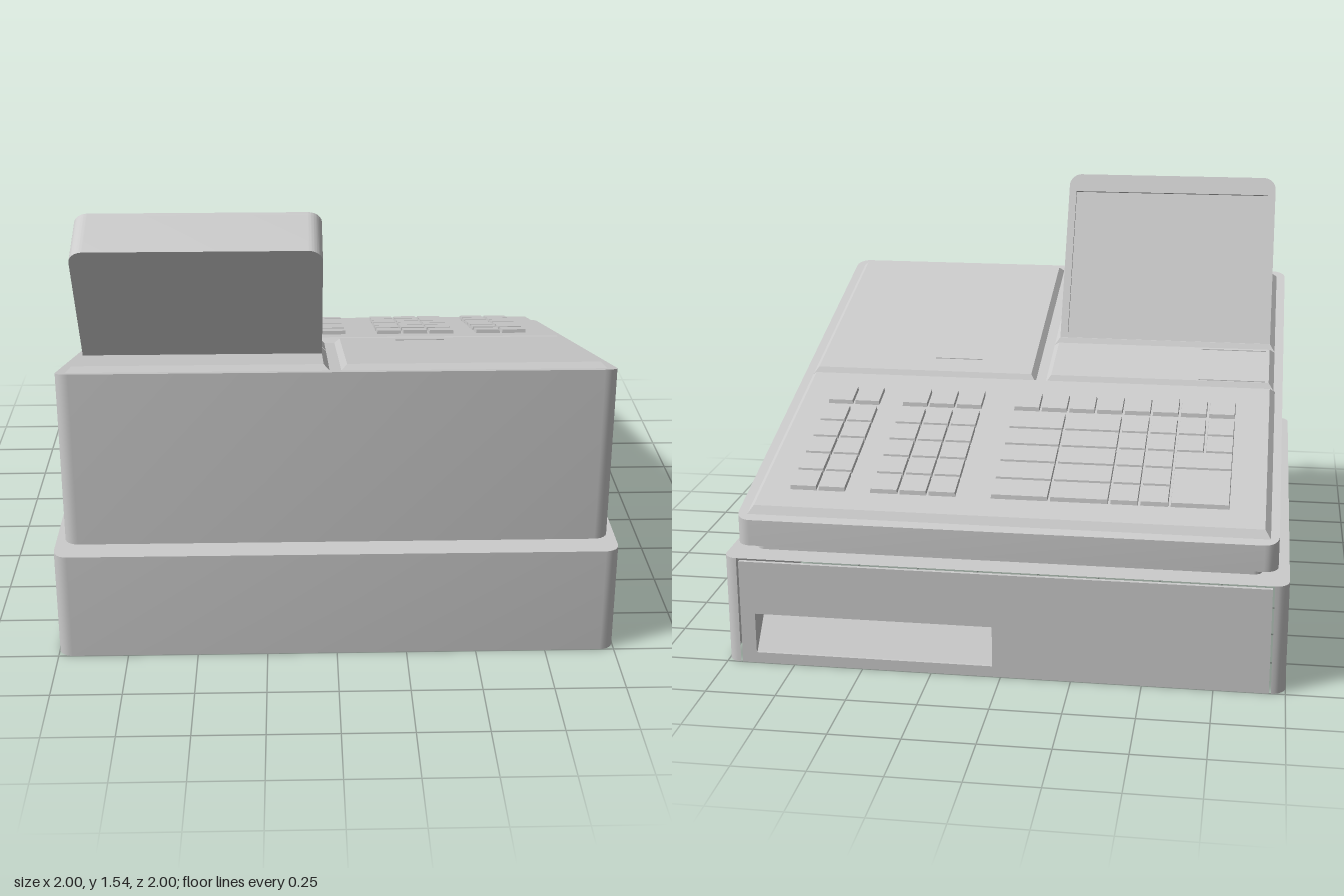
import * as THREE from 'three';
import { toCreasedNormals } from 'three/addons/utils/BufferGeometryUtils.js';

const MAT = new THREE.MeshStandardMaterial({ color: 0xcccccc, side: THREE.DoubleSide });
const topY = (z) => 0.805 + 0.285 * z; // sloping top plane

function add(parent, name, geometry) {
  const mesh = new THREE.Mesh(geometry, MAT);
  mesh.name = name;
  parent.add(mesh);
  return mesh;
}

function moveVertices(geo, rule) {
  const p = geo.attributes.position;
  const v = new THREE.Vector3();
  for (let i = 0; i < p.count; i++) {
    rule(v.fromBufferAttribute(p, i));
    p.setXYZ(i, v.x, v.y, v.z);
  }
  return toCreasedNormals(geo, 0.5);
}

// Rounded rectangle in plan; its closing segment is the back edge.
function outline(w, z0, z1, r, y) {
  const pts = [];
  const centres = [[w - r, z0 + r], [w - r, z1 - r], [r - w, z1 - r], [r - w, z0 + r]];
  centres.forEach(([cx, cz], k) => {
    for (let i = 0; i <= 6; i++) {
      const a = (k - 1 + i / 6) * Math.PI / 2;
      const z = cz + r * Math.sin(a);
      pts.push(new THREE.Vector3(cx + r * Math.cos(a), typeof y === 'function' ? y(z) : y, z));
    }
  });
  return pts;
}

// Strip of faces between two cross-sections.
function loft(a, b, closed = true) {
  const pos = [];
  const n = a.length;
  for (let i = 0; i < (closed ? n : n - 1); i++) {
    const j = (i + 1) % n;
    for (const p of [a[i], b[i], a[j], a[j], b[i], b[j]]) pos.push(p.x, p.y, p.z);
  }
  const geo = new THREE.BufferGeometry();
  geo.setAttribute('position', new THREE.Float32BufferAttribute(pos, 3));
  return toCreasedNormals(geo, 0.5);
}

// Block lying on the sloping top, its upper face inset to form a bevel.
function slopeBlock(x0, x1, z0, z1, h0, h1, inset) {
  const cx = (x0 + x1) / 2, cz = (z0 + z1) / 2;
  const geo = new THREE.BoxGeometry(x1 - x0, 1, z1 - z0);
  return moveVertices(geo, (v) => {
    const up = v.y > 0;
    v.x = cx + v.x - (up ? Math.sign(v.x) * inset : 0);
    v.z = cz + v.z - (up ? Math.sign(v.z) * inset : 0);
    v.y = topY(v.z) + (up ? h1 : h0);
  });
}

function rectPath(Type, x0, x1, y0, y1) {
  const s = new Type();
  s.moveTo(x0, y0).lineTo(x1, y0).lineTo(x1, y1).lineTo(x0, y1).closePath();
  return s;
}

function buildBase(g) {
  // Hollow drawer case, open below and at the drawer
  const low = outline(1, -1, 1, 0.05, 0), high = outline(1, -1, 1, 0.05, 0.4);
  const neck0 = outline(0.905, -0.9, 0.9, 0.03, 0.4);
  const neck1 = outline(0.905, -0.9, 0.9, 0.03, 0.435);
  add(g, 'drawerCase', loft(low, high, false));
  add(g, 'drawerCaseLedge', loft(high, neck0));
  add(g, 'neck', loft(neck0, neck1));

  // Drawer front with a scooped hand pull
  const front = rectPath(THREE.Shape, -0.943, 0.943, 0, 0.388);
  front.holes.push(rectPath(THREE.Path, 0.03, 0.89, 0.04, 0.19));
  const plate = new THREE.ExtrudeGeometry(front, { depth: 0.015, bevelEnabled: false });
  add(g, 'drawerFront', plate).position.z = -1;
  const corners = [[0.03, 0.04], [0.03, 0.19], [0.89, 0.19], [0.89, 0.04]];
  add(g, 'drawerPull', loft(
    corners.map(([x, y]) => new THREE.Vector3(x, y, -0.99)),
    corners.map(([x]) => new THREE.Vector3(x, 0.19, -0.86))));
  return neck1;
}

function buildBody(g, neck) {
  const low = outline(0.96, -0.96, 0.97, 0.05, 0.435);
  const high = outline(0.96, -0.96, 0.97, 0.05, topY);
  add(g, 'bodyUnderside', loft(neck, low));
  add(g, 'bodyWalls', loft(low, high));
  const cap = new THREE.ShapeGeometry(new THREE.Shape(high.map((p) => new THREE.Vector2(p.x, -p.z))));
  cap.rotateX(-Math.PI / 2);
  add(g, 'bodyTop', moveVertices(cap, (v) => { v.y = topY(v.z); }));

  // Raised bevelled panels
  const panels = {
    keyboardPanel: [-0.93, 0.925, -0.925, 0],
    printerCover: [0.015, 0.925, 0.003, 0.925],
    displayStrip: [-0.925, -0.025, 0.003, 0.29],
    displayPanel: [-0.925, -0.025, 0.293, 0.925],
  };
  for (const [name, [x0, x1, z0, z1]] of Object.entries(panels))
    add(g, name, slopeBlock(x0, x1, z0, z1, 0, 0.022, 0.02));

  // Narrow slots
  for (const [x0, x1, z] of [[0.25, 0.44, 0.12], [-0.89, -0.63, 0.03], [-0.89, -0.63, 0.257]])
    add(g, 'slot', slopeBlock(x0, x1, z - 0.004, z + 0.004, 0.02, 0.025, 0));
}

function buildKeys(g) {
  const keys = new THREE.Group();
  keys.name = 'keys';
  g.add(keys);
  const key = (x0, x1, z0, z1) =>
    add(keys, 'key', slopeBlock(x0 + 0.004, x1 - 0.004, z0 + 0.004, z1 - 0.004, 0.02, 0.037, 0.002));
  const rows = [-0.807, -0.7, -0.592, -0.485, -0.377, -0.27];
  const block = (cols, r0 = 0, r1 = 5) => {
    for (let r = r0; r < r1; r++)
      for (let c = 0; c + 1 < cols.length; c++) key(cols[c], cols[c + 1], rows[r], rows[r + 1]);
  };
  const bottomRow = (x, n, step) => {
    for (let i = 0; i < n; i++) key(x + i * step, x + (i + 1) * step, -0.243, -0.135);
  };
  // Main block, with its large and double-width keys
  block([-0.573, -0.466, -0.36, -0.145, 0.068]);
  key(-0.787, -0.573, rows[0], rows[2]);
  key(-0.787, -0.573, rows[2], rows[3]);
  block([-0.787, -0.68, -0.573], 3);
  bottomRow(-0.787, 8, 0.107);
  // Number blocks
  block([0.188, 0.294, 0.4, 0.508]);
  bottomRow(0.188, 3, 0.1067);
  block([0.592, 0.698, 0.803]);
  bottomRow(0.592, 2, 0.1055);
}

function buildDisplay(g) {
  const display = new THREE.Group();
  display.name = 'display';
  display.position.set(-0.475, 1.545, 0.64);
  display.rotation.x = Math.atan2(0.46, 0.888);
  g.add(display);
  const w = 0.43, r = 0.05, bottom = -0.711;
  const face = () => {
    const s = new THREE.Shape();
    s.moveTo(-w, bottom).lineTo(w, bottom).lineTo(w, -r);
    s.absarc(w - r, -r, r, 0, Math.PI / 2, false);
    s.absarc(r - w, -r, r, Math.PI / 2, Math.PI, false);
    return s.closePath();
  };
  // Foot is cut to the slope of the panel, top edge tips slightly
  const trimmed = (shape, z0, z1) => {
    const geo = new THREE.ExtrudeGeometry(shape, { depth: z1 - z0, bevelEnabled: false, curveSegments: 8 });
    geo.translate(0, 0, z0);
    return moveVertices(geo, (v) => {
      v.y = v.y < -0.7 ? bottom + 0.98 * v.z : v.y + 0.12 * v.z;
    });
  };
  const bezel = face();
  bezel.holes.push(rectPath(THREE.Path, -0.4, 0.4, -0.685, -0.075));
  add(display, 'displayBezel', trimmed(bezel, 0, 0.015));
  add(display, 'displayHousing', trimmed(face(), 0.015, 0.212));
}

export function createModel() {
  const model = new THREE.Group();
  model.name = 'cashRegister';
  const neck = buildBase(model);
  buildBody(model, neck);
  buildKeys(model);
  buildDisplay(model);
  return model;
}
